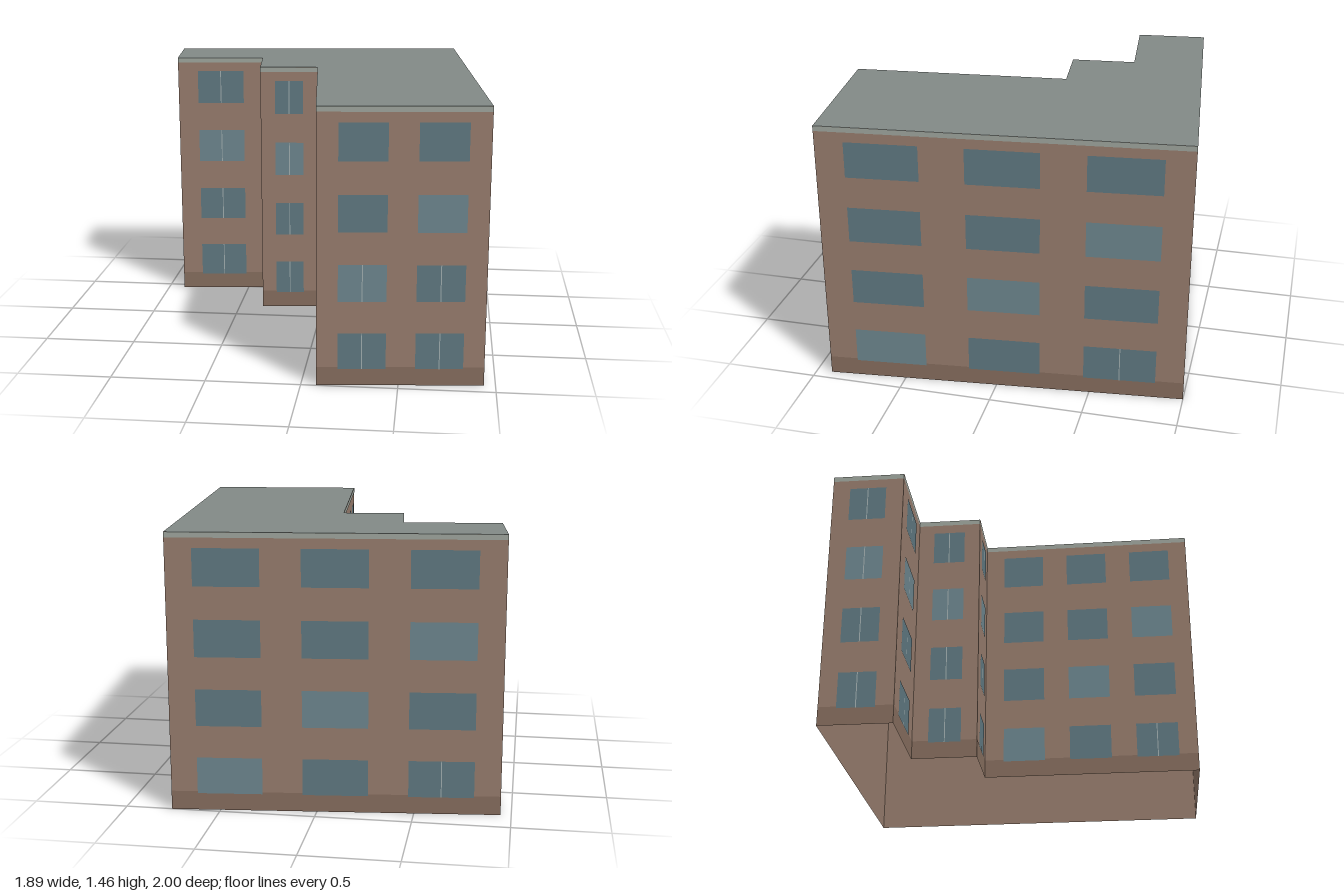
import * as THREE from 'three';

const HEIGHT = 1.46, BASE = 0.1, TRIM = 0.028;
const FLOORS = 4, FLOOR_PITCH = 0.365, SILL = 0.09, WINDOW_HEIGHT = 0.195;
const MARGIN = 0.034, WINDOW_RATIO = 0.62;

// Footprint corners [x, z]; each wall runs left to right as seen from outside
const corners = [
  [0.08, 0.995], [0.94, 0.915], [0.755, -1], [-0.945, -0.835],
  [-0.905, -0.45], [-0.395, -0.5], [-0.36, -0.15], [-0.03, -0.18],
];

// Window columns, diagonal of paler panes, and which windows have a centre bar
const lastGroundWindow = (row, col) => row === 0 && col === 2;
const everyWindow = () => true;
const walls = [
  { name: 'frontWall', cols: 2, pale: 1, bar: (row) => row < 2 },
  { name: 'leftWall', cols: 3, pale: 0, bar: lastGroundWindow },
  { name: 'backWall', cols: 3, pale: 0, bar: lastGroundWindow },
  { name: 'rightEndWall', cols: 1, pale: 2, bar: everyWindow },
  { name: 'outerRecessWall', cols: 1, pale: 2, bar: everyWindow },
  { name: 'outerStepWall', cols: 1, pale: 2, bar: everyWindow },
  { name: 'innerRecessWall', cols: 1, pale: 2, bar: everyWindow },
  { name: 'courtyardWall', cols: 3, pale: 0, bar: lastGroundWindow },
];

const material = (color, side = THREE.FrontSide) => new THREE.MeshStandardMaterial({ color, side });

export function createModel() {
  const building = new THREE.Group();
  building.name = 'building';

  const brick = material(0x9b8070, THREE.DoubleSide);
  const plinth = material(0x8a7161);
  const trim = material(0xa3aaa2);
  const roofing = material(0x838b88, THREE.DoubleSide);
  const glass = material(0x627c85);
  const paleGlass = material(0x708a93);
  const barPaint = material(0xa6b4b5);

  // Upright panel in a wall's own plane, lifted slightly off it
  function panel(parent, name, width, height, x, bottom, lift, mat) {
    const mesh = new THREE.Mesh(new THREE.PlaneGeometry(width, height), mat);
    mesh.name = name;
    mesh.position.set(x, bottom + height / 2, lift);
    parent.add(mesh);
  }

  walls.forEach(({ name, cols, pale, bar }, i) => {
    const [x0, z0] = corners[i];
    const [x1, z1] = corners[(i + 1) % corners.length];
    const length = Math.hypot(x1 - x0, z1 - z0);

    const wall = new THREE.Group();
    wall.name = name;
    wall.position.set((x0 + x1) / 2, 0, (z0 + z1) / 2);
    wall.rotation.y = Math.atan2(z0 - z1, x1 - x0);
    building.add(wall);

    panel(wall, 'brickFace', length, HEIGHT, 0, 0, 0, brick);
    panel(wall, 'baseBand', length, BASE, 0, 0, 0.001, plinth);
    panel(wall, 'roofTrim', length, TRIM, 0, HEIGHT - TRIM, 0.001, trim);

    // Window grid
    const bay = (length - 2 * MARGIN) / cols;
    for (let row = 0; row < FLOORS; row++) {
      for (let col = 0; col < cols; col++) {
        const x = (col - (cols - 1) / 2) * bay;
        const y = SILL + row * FLOOR_PITCH;
        const mat = row - col === pale ? paleGlass : glass;
        panel(wall, 'window', bay * WINDOW_RATIO, WINDOW_HEIGHT, x, y, 0.0025, mat);
        if (bar(row, col)) panel(wall, 'windowBar', 0.005, WINDOW_HEIGHT, x, y, 0.0035, barPaint);
      }
    }
  });

  // Flat roof over the stepped footprint
  const outline = new THREE.Shape(corners.map(([x, z]) => new THREE.Vector2(x, -z)));
  const roof = new THREE.Mesh(new THREE.ShapeGeometry(outline).rotateX(-Math.PI / 2), roofing);
  roof.name = 'roof';
  roof.position.y = HEIGHT;
  building.add(roof);

  return building;
}
